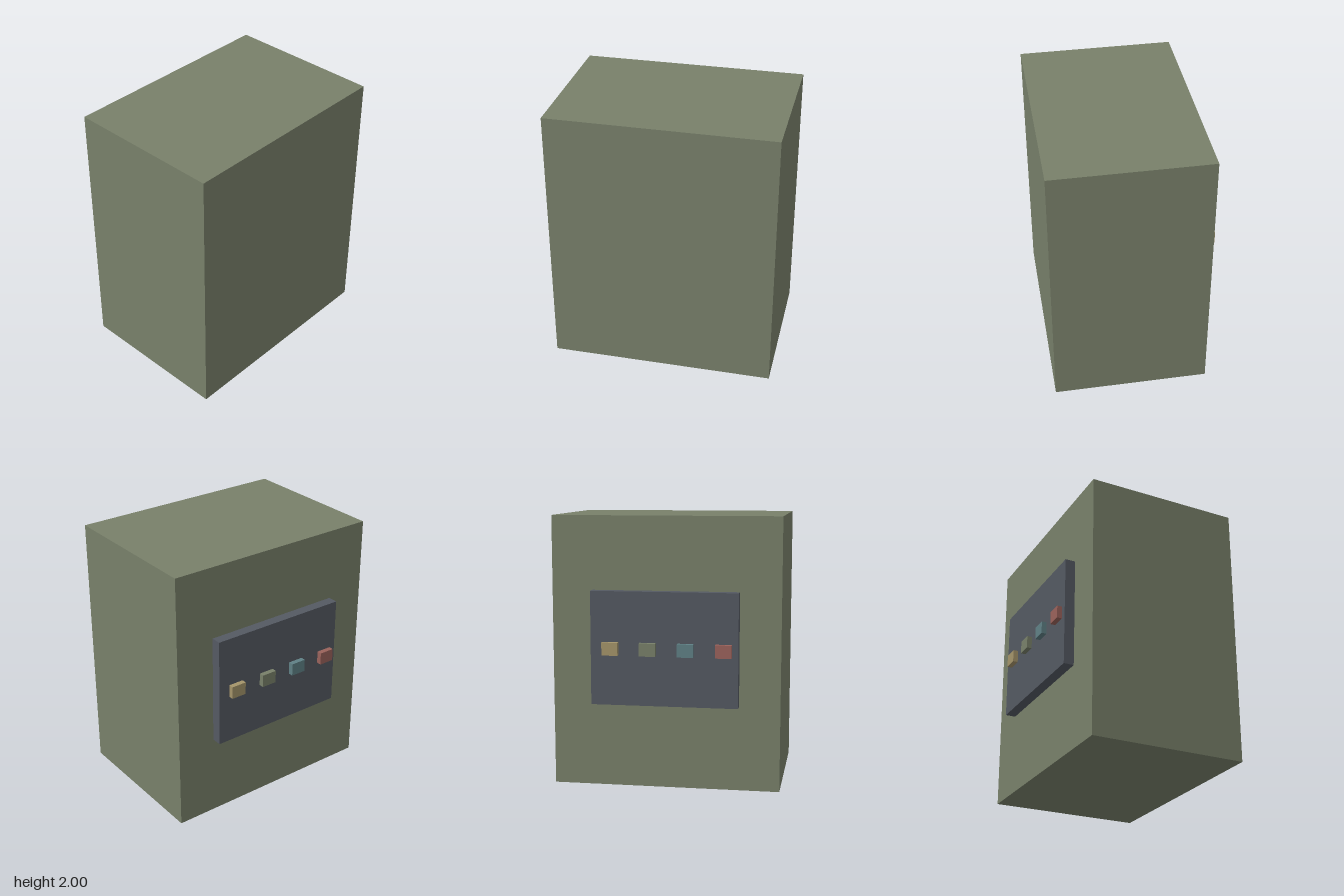
import * as THREE from 'three';

// Box given by its minimum and maximum corners
function addBox(parent, name, color, [x0, y0, z0], [x1, y1, z1]) {
  const mesh = new THREE.Mesh(
    new THREE.BoxGeometry(x1 - x0, y1 - y0, z1 - z0),
    new THREE.MeshStandardMaterial({ color })
  );
  mesh.position.set((x0 + x1) / 2, (y0 + y1) / 2, (z0 + z1) / 2);
  mesh.name = name;
  parent.add(mesh);
}

export function createModel() {
  const model = new THREE.Group();
  model.name = 'cabinet';

  // Cabinet body
  addBox(model, 'body', 0x78806a, [-0.84, 0, -0.525], [0.84, 2, 0.64]);

  // Raised panel on the back
  addBox(model, 'backPanel', 0x545962, [-0.54, 0.625, -0.602], [0.54, 1.46, -0.525]);

  // Row of coloured buttons on the panel
  const buttons = new THREE.Group();
  buttons.name = 'buttons';
  const colors = { red: 0x9a625b, teal: 0x5f8085, green: 0x78806a, yellow: 0xa4946a };
  Object.entries(colors).forEach(([name, color], i) => {
    const x = -0.435 + i * 0.276;
    addBox(buttons, `${name}Button`, color, [x - 0.059, 0.995, -0.64], [x + 0.059, 1.09, -0.602]);
  });
  model.add(buttons);

  return model;
}
